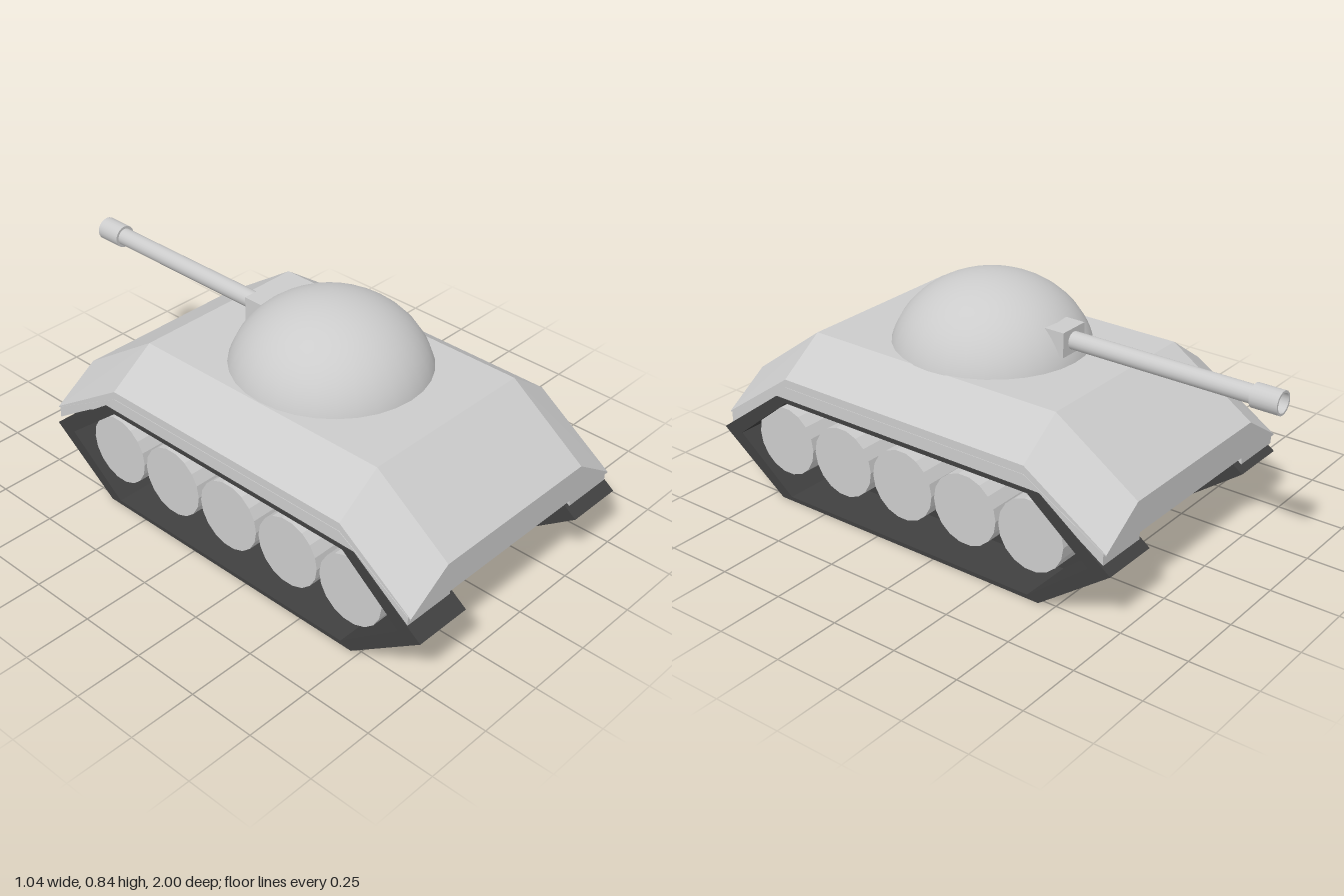
import * as THREE from 'three';

const grey = new THREE.MeshStandardMaterial({ color: 0xcccccc, flatShading: true });
const smoothGrey = new THREE.MeshStandardMaterial({ color: 0xcccccc, side: THREE.DoubleSide });
const dark = new THREE.MeshStandardMaterial({ color: 0x404040, flatShading: true });

function add(parent, name, geometry, material) {
  const mesh = new THREE.Mesh(geometry, material);
  mesh.name = name;
  parent.add(mesh);
  return mesh;
}

// Extrude a (z, y) outline sideways so it spans x0..x1
function extrudeAcross(points, x0, x1, holePoints) {
  const toVec = ([z, y]) => new THREE.Vector2(z, y);
  const shape = new THREE.Shape(points.map(toVec));
  if (holePoints) shape.holes.push(new THREE.Path(holePoints.map(toVec)));
  return new THREE.ExtrudeGeometry(shape, { depth: x1 - x0, bevelEnabled: false })
    .rotateY(-Math.PI / 2).translate(x1, 0, 0);
}

// Closed loft through equal-length sections running from front to back
function loft(sections) {
  const pos = [];
  const tri = (a, b, c) => pos.push(...a, ...b, ...c);
  const n = sections[0].length;
  for (let s = 0; s < sections.length - 1; s++) {
    const [p, q] = [sections[s], sections[s + 1]];
    for (let i = 0; i < n; i++) {
      const j = (i + 1) % n;
      tri(p[i], q[i], q[j]);
      tri(p[i], q[j], p[j]);
    }
  }
  const first = sections[0], last = sections[sections.length - 1];
  for (let i = 1; i < n - 1; i++) {
    tri(first[0], first[i], first[i + 1]);
    tri(last[0], last[i + 1], last[i]);
  }
  const g = new THREE.BufferGeometry();
  g.setAttribute('position', new THREE.Float32BufferAttribute(pos, 3));
  g.computeVertexNormals();
  return g;
}

// Six-sided track outline, pointed at both ends
function hexagon(cz, cy, halfLength, halfFlat, halfHeight) {
  return [
    [cz + halfLength, cy], [cz + halfFlat, cy + halfHeight], [cz - halfFlat, cy + halfHeight],
    [cz - halfLength, cy], [cz - halfFlat, cy - halfHeight], [cz + halfFlat, cy - halfHeight],
  ];
}

// Strip closing the gap between the upper hull and the top of a track
const fenderOutline = [
  [0.945, 0.232], [0.945, 0.275], [0.66, 0.45], [-0.38, 0.45],
  [-0.69, 0.275], [-0.69, 0.232], [-0.44, 0.395], [0.72, 0.395],
];

function makeTrack(side) {
  const track = new THREE.Group();
  track.name = side > 0 ? 'leftTrack' : 'rightTrack';
  const cz = side > 0 ? 0.132 : 0.148;
  const span = (a, b) => (side > 0 ? [a, b] : [-b, -a]);
  const outer = hexagon(cz, 0.203, 0.852, 0.575, 0.202);
  const inner = hexagon(cz, 0.203, 0.765, 0.53, 0.187);
  add(track, 'trackBand', extrudeAcross(outer, ...span(0.3, 0.52), inner), dark);
  add(track, 'trackInnerWall', extrudeAcross(inner, ...span(0.3, 0.32)), dark);
  add(track, 'fender', extrudeAcross(fenderOutline, ...span(0.315, 0.517)), grey);
  for (let i = 0; i < 5; i++) {
    const wheel = new THREE.CylinderGeometry(0.13, 0.13, 0.19, 18).rotateZ(Math.PI / 2);
    add(track, 'roadWheel', wheel, grey).position.set(side * 0.41, 0.23, cz + 0.01 + (i - 2) * 0.271);
  }
  return track;
}

export function createModel() {
  const model = new THREE.Group();
  model.name = 'tank';

  // Upper hull: [z, bottom, shoulder height, roof height]
  const stations = [
    [0.955, 0.268, 0.272, 0.385], [0.66, 0.4, 0.48, 0.6],
    [-0.38, 0.4, 0.48, 0.6], [-0.7, 0.268, 0.272, 0.385],
  ];
  const sections = stations.map(([z, yb, ys, yt]) => [
    [0.515, yb, z], [0.515, ys, z], [0.345, yt, z],
    [-0.345, yt, z], [-0.515, ys, z], [-0.515, yb, z],
  ]);
  add(model, 'upperHull', loft(sections), grey);

  // Lower hull between the tracks, with a shallow V-shaped belly
  const belly = [
    [0.7, 0.225], [0.7, 0.41], [-0.43, 0.41], [-0.43, 0.21], [0.13, 0.065],
  ];
  add(model, 'lowerHull', extrudeAcross(belly, -0.3, 0.3), grey);

  model.add(makeTrack(1), makeTrack(-1));

  // Turret dome: upper part of a flattened sphere, cut at the hull roof
  const cut = Math.acos(0.068 / 0.31);
  const dome = new THREE.SphereGeometry(1, 32, 16, 0, Math.PI * 2, 0, cut).scale(0.357, 0.31, 0.364);
  add(model, 'turretDome', dome, smoothGrey).position.set(0.006, 0.53, 0.145);

  // Gun: mount block, barrel and open muzzle sleeve
  const gun = new THREE.Group();
  gun.name = 'gun';
  gun.position.set(0.008, 0.683, 0);
  model.add(gun);
  add(gun, 'gunMount', new THREE.BoxGeometry(0.12, 0.09, 0.11), grey).position.z = -0.15;
  add(gun, 'barrel', new THREE.CylinderGeometry(0.032, 0.032, 0.76, 20).rotateX(Math.PI / 2), smoothGrey)
    .position.z = -0.56;
  const sleeve = [[0.03, 0.9], [0.042, 0.9], [0.042, 0.9], [0.042, 1], [0.042, 1], [0.034, 1], [0.034, 1], [0.034, 0.93]]
    .map(([r, d]) => new THREE.Vector2(r, d));
  add(gun, 'muzzle', new THREE.LatheGeometry(sleeve, 20).rotateX(-Math.PI / 2), smoothGrey);

  return model;
}
